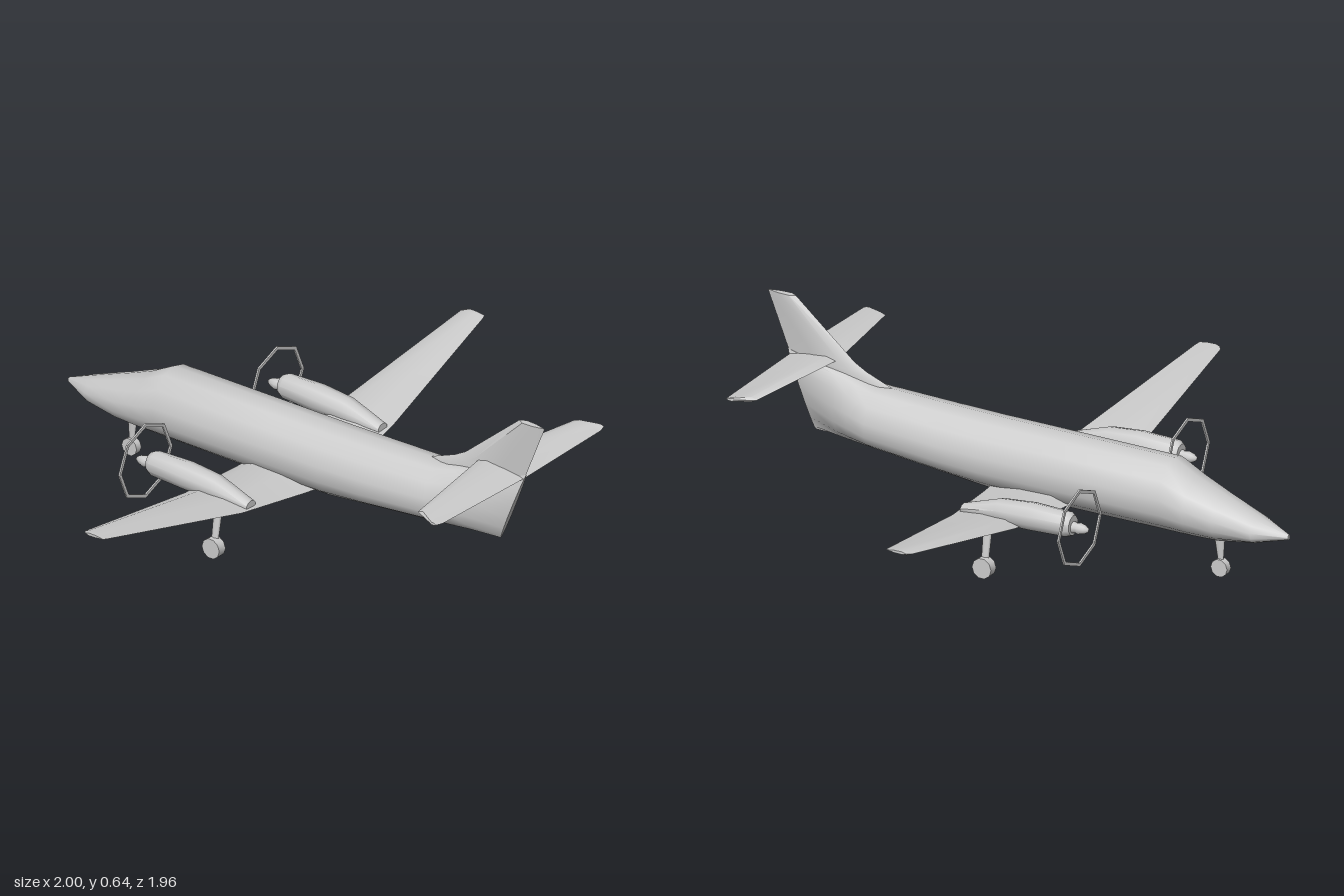
import * as THREE from 'three';
import { toCreasedNormals } from 'three/addons/utils/BufferGeometryUtils.js';

const grey = new THREE.MeshStandardMaterial({ color: 0xcccccc, side: THREE.DoubleSide });

function add(parent, name, geometry) {
  const mesh = new THREE.Mesh(geometry, grey);
  mesh.name = name;
  parent.add(mesh);
  return mesh;
}

// Skin a list of equal-length closed rings of [x, y, z] points, with end caps
function loft(rings, crease = 0.7) {
  const n = rings[0].length;
  const pos = rings.flat(2);
  const index = [];
  for (let i = 0; i < rings.length - 1; i++) {
    for (let j = 0; j < n; j++) {
      const k = (j + 1) % n;
      const a = i * n + j, b = i * n + k, c = b + n, d = a + n;
      index.push(a, b, c, a, c, d);
    }
  }
  const last = (rings.length - 1) * n;
  for (let j = 1; j < n - 1; j++) {
    index.push(0, j + 1, j, last, last + j, last + j + 1);
  }
  const geometry = new THREE.BufferGeometry();
  geometry.setAttribute('position', new THREE.Float32BufferAttribute(pos, 3));
  geometry.setIndex(index);
  return toCreasedNormals(geometry, crease);
}

// Egg-shaped section across z: bottom, widest height, top, half width, lean along z
function bodyRing(z, bottom, mid, top, half, lean = 0, x = 0, sides = 14) {
  return Array.from({ length: sides }, (_, i) => {
    const a = (i / sides) * Math.PI * 2 + Math.PI / 2;
    const s = Math.sin(a);
    const y = mid + s * (s > 0 ? top - mid : mid - bottom);
    return [x + Math.cos(a) * half, y, z + lean * (y - bottom)];
  });
}

// Chord fraction and thickness fraction of the aerofoil
const foil = [[1, 0], [0.6, -0.42], [0.2, -0.5], [0, 0], [0.2, 0.5], [0.6, 0.42]];

// Wing section across x, with optional drop towards the trailing edge
const wingRing = (x, lead, trail, y, thick, drop = 0) =>
  foil.map(([c, t]) => [x, y + t * thick - c * drop, lead + c * (trail - lead)]);

// Full-span wing from half-span stations
function span(stations) {
  const left = stations.filter((s) => s[0] > 0).map(([x, ...r]) => [-x, ...r]).reverse();
  return loft([...left, ...stations].map((s) => wingRing(...s)));
}

function strut(from, to, rTop, rBottom, squash) {
  const a = new THREE.Vector3(...from), b = new THREE.Vector3(...to);
  const g = new THREE.CylinderGeometry(rTop, rBottom, a.distanceTo(b), 8);
  g.scale(squash, 1, 1);
  const dir = a.clone().sub(b).normalize();
  g.applyQuaternion(new THREE.Quaternion().setFromUnitVectors(new THREE.Vector3(0, 1, 0), dir));
  const m = a.add(b).multiplyScalar(0.5);
  return g.translate(m.x, m.y, m.z);
}

function wheel(x, z, radius, width) {
  const g = new THREE.CylinderGeometry(radius, radius, width, 10);
  return toCreasedNormals(g.rotateZ(Math.PI / 2).translate(x, radius, z), 0.8);
}

export function createModel() {
  const model = new THREE.Group();
  model.name = 'twinPropAeroplane';

  // Fuselage, nose at -z, closing to a leaning knife edge under the fin
  add(model, 'fuselage', loft([
    [-0.982, 0.183, 0.19, 0.2, 0.008],
    [-0.87, 0.154, 0.19, 0.243, 0.063],
    [-0.74, 0.134, 0.205, 0.292, 0.089],
    [-0.64, 0.133, 0.225, 0.332, 0.109],
    [-0.55, 0.133, 0.24, 0.38, 0.116],
    [-0.1, 0.133, 0.245, 0.381, 0.119],
    [0.13, 0.139, 0.245, 0.382, 0.119],
    [0.3, 0.157, 0.25, 0.385, 0.117],
    [0.56, 0.182, 0.265, 0.393, 0.106],
    [0.64, 0.185, 0.275, 0.41, 0.085],
    [0.69, 0.186, 0.28, 0.425, 0.065, 0.13],
    [0.8, 0.187, 0.3, 0.45, 0.011, 0.4],
  ].map((s) => bodyRing(...s))));

  // Wing with dihedral beginning outside the engines
  add(model, 'wing', span([
    [0, -0.205, 0.11, 0.165, 0.055],
    [0.12, -0.203, 0.09, 0.171, 0.05],
    [0.4, -0.188, 0.046, 0.197, 0.036],
    [0.985, -0.142, -0.05, 0.311, 0.016],
    [1, -0.13, -0.055, 0.314, 0.01],
  ]));

  add(model, 'tailplane', span([
    [0, 0.715, 0.896, 0.45, 0.024, 0.016],
    [0.41, 0.78, 0.885, 0.443, 0.018, 0.008],
    [0.44, 0.855, 0.88, 0.438, 0.01],
  ]));

  // Fin with a fillet running forward onto the spine
  const finRing = (y, lead, trail, thick) =>
    foil.map(([c, t]) => [-t * thick, y, lead + c * (trail - lead)]).reverse();
  add(model, 'fin', loft([
    finRing(0.36, 0.46, 0.868, 0.03),
    finRing(0.395, 0.52, 0.882, 0.03),
    finRing(0.43, 0.61, 0.896, 0.03),
    finRing(0.455, 0.655, 0.906, 0.03),
    finRing(0.642, 0.876, 0.981, 0.024),
  ]));

  // Engines, propeller rings and main gear on both sides
  for (const side of [-1, 1]) {
    const name = side > 0 ? 'left' : 'right';
    const x = side * 0.345;
    const engine = new THREE.Group();
    engine.name = name + 'Engine';
    model.add(engine);

    add(engine, 'nacelle', loft([
      [-0.373, 0.192, 0.228, 0.262, 0.031],
      [-0.355, 0.185, 0.228, 0.272, 0.041],
      [-0.22, 0.18, 0.228, 0.275, 0.048],
      [-0.1, 0.18, 0.222, 0.264, 0.044],
      [0.04, 0.187, 0.2, 0.218, 0.024],
    ].map((s) => bodyRing(...s, 0, x, 10))));

    const nose = [[0.02, 0], [0.017, 0.015], [0.02, 0.025], [0.015, 0.045], [0.007, 0.058], [0, 0.06]]
      .map(([r, h]) => new THREE.Vector2(r, h));
    const spinner = new THREE.LatheGeometry(nose, 10).rotateX(-Math.PI / 2);
    add(engine, 'spinner', spinner).position.set(x, 0.222, -0.371);

    // Octagonal propeller ring
    const ring = new THREE.Shape();
    const hole = new THREE.Path();
    for (let i = 0; i < 8; i++) {
      const a = (i * Math.PI) / 4, c = Math.cos(a), s = Math.sin(a);
      ring[i ? 'lineTo' : 'moveTo'](0.139 * c, 0.135 * s);
      hole[i ? 'lineTo' : 'moveTo'](0.127 * c, 0.123 * s);
    }
    ring.holes.push(hole);
    add(engine, 'propellerRing', new THREE.ExtrudeGeometry(ring, { depth: 0.006, bevelEnabled: false }))
      .position.set(x, 0.224, -0.399);

    add(model, name + 'MainStrut', strut([side * 0.372, 0.195, -0.07], [side * 0.396, 0.05, -0.07], 0.018, 0.014, 0.6));
    add(model, name + 'MainWheel', wheel(side * 0.401, -0.07, 0.036, 0.033));
  }

  // Nose gear
  add(model, 'noseStrut', strut([0, 0.15, -0.72], [0, 0.04, -0.725], 0.022, 0.009, 0.4));
  add(model, 'noseWheel', wheel(0, -0.725, 0.031, 0.025));

  return model;
}
